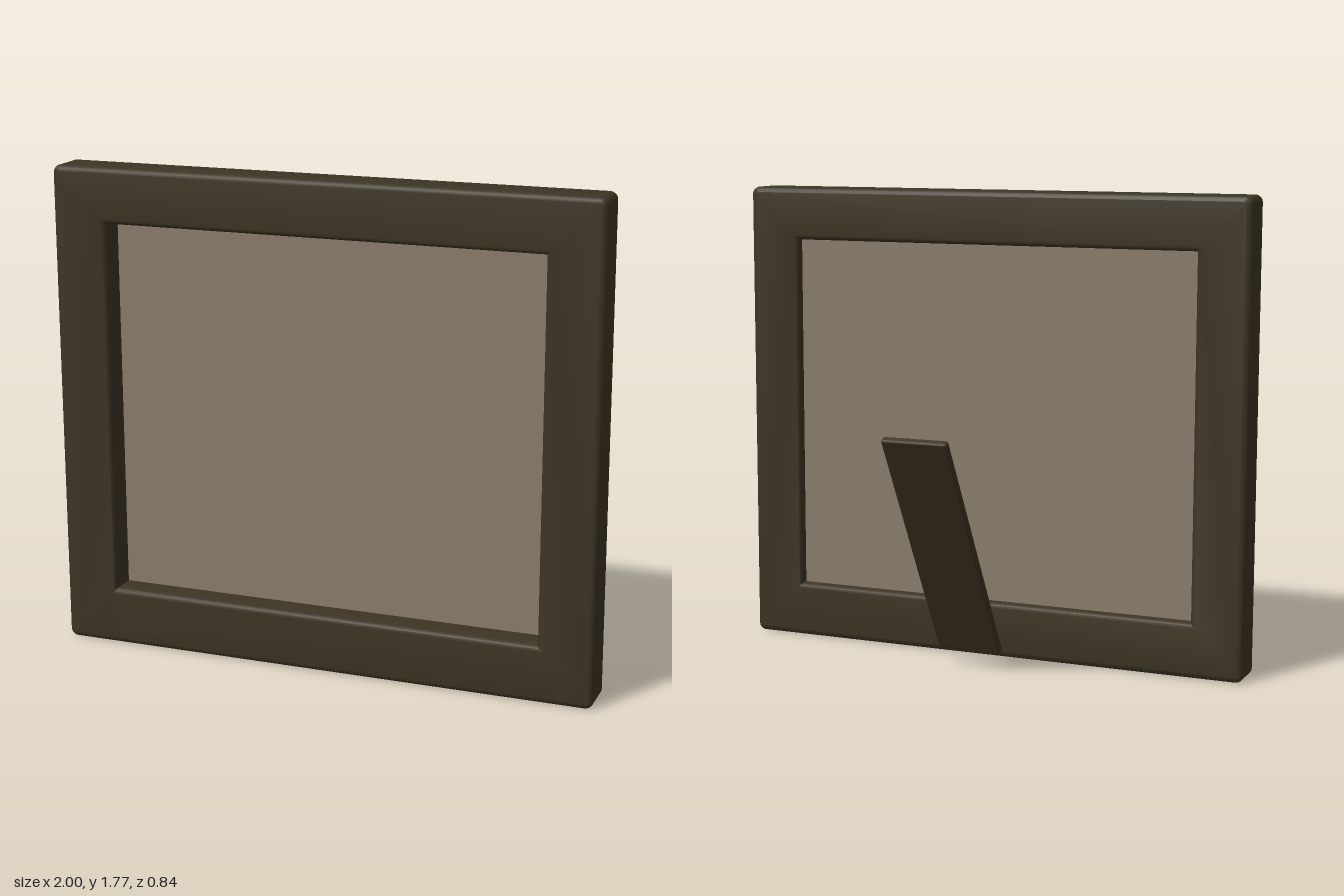
import * as THREE from 'three';
import { toCreasedNormals } from 'three/addons/utils/BufferGeometryUtils.js';
import { RoundedBoxGeometry } from 'three/addons/geometries/RoundedBoxGeometry.js';

const BEVEL = 0.02;

// Rectangle outline with rounded corners
function roundedRect(x0, y0, x1, y1, r) {
  const s = new THREE.Shape();
  s.absarc(x1 - r, y0 + r, r, -Math.PI / 2, 0);
  s.absarc(x1 - r, y1 - r, r, 0, Math.PI / 2);
  s.absarc(x0 + r, y1 - r, r, Math.PI / 2, Math.PI);
  s.absarc(x0 + r, y0 + r, r, Math.PI, Math.PI * 1.5);
  return s;
}

export function createModel() {
  const group = new THREE.Group();
  const wood = new THREE.MeshStandardMaterial({ color: 0x3d3423 });
  wood.name = 'dark wood';
  const backing = new THREE.MeshStandardMaterial({ color: 0x8a7d6b });
  backing.name = 'taupe panel';

  const add = (name, geometry, material, x, y, z) => {
    const mesh = new THREE.Mesh(geometry, material);
    mesh.name = name;
    mesh.position.set(x, y, z);
    group.add(mesh);
    return mesh;
  };

  // Frame with softened inner and outer edges
  const outline = roundedRect(-1, 0, 1, 1.77, 0.028);
  outline.holes.push(new THREE.Path([
    new THREE.Vector2(-0.8, 0.21), new THREE.Vector2(-0.8, 1.57),
    new THREE.Vector2(0.8, 1.57), new THREE.Vector2(0.8, 0.21),
  ]));
  const frame = new THREE.ExtrudeGeometry(outline, {
    depth: 0.16 - 2 * BEVEL, curveSegments: 4,
    bevelThickness: BEVEL, bevelSize: BEVEL, bevelOffset: -BEVEL, bevelSegments: 3,
  });
  add('frame', toCreasedNormals(frame, 0.6), wood, 0, 0, 0.26 + BEVEL);

  // Panel recessed deeper from the front than from the back
  add('picturePanel', new THREE.BoxGeometry(1.61, 1.37, 0.02), backing, 0, 0.89, 0.308);

  // Leaning prop behind the frame
  const stand = add('backStand', new RoundedBoxGeometry(0.25, 1, 0.03, 2, 0.009), wood, 0, 0.505, -0.16);
  stand.rotation.x = -Math.PI / 6;

  return group;
}
